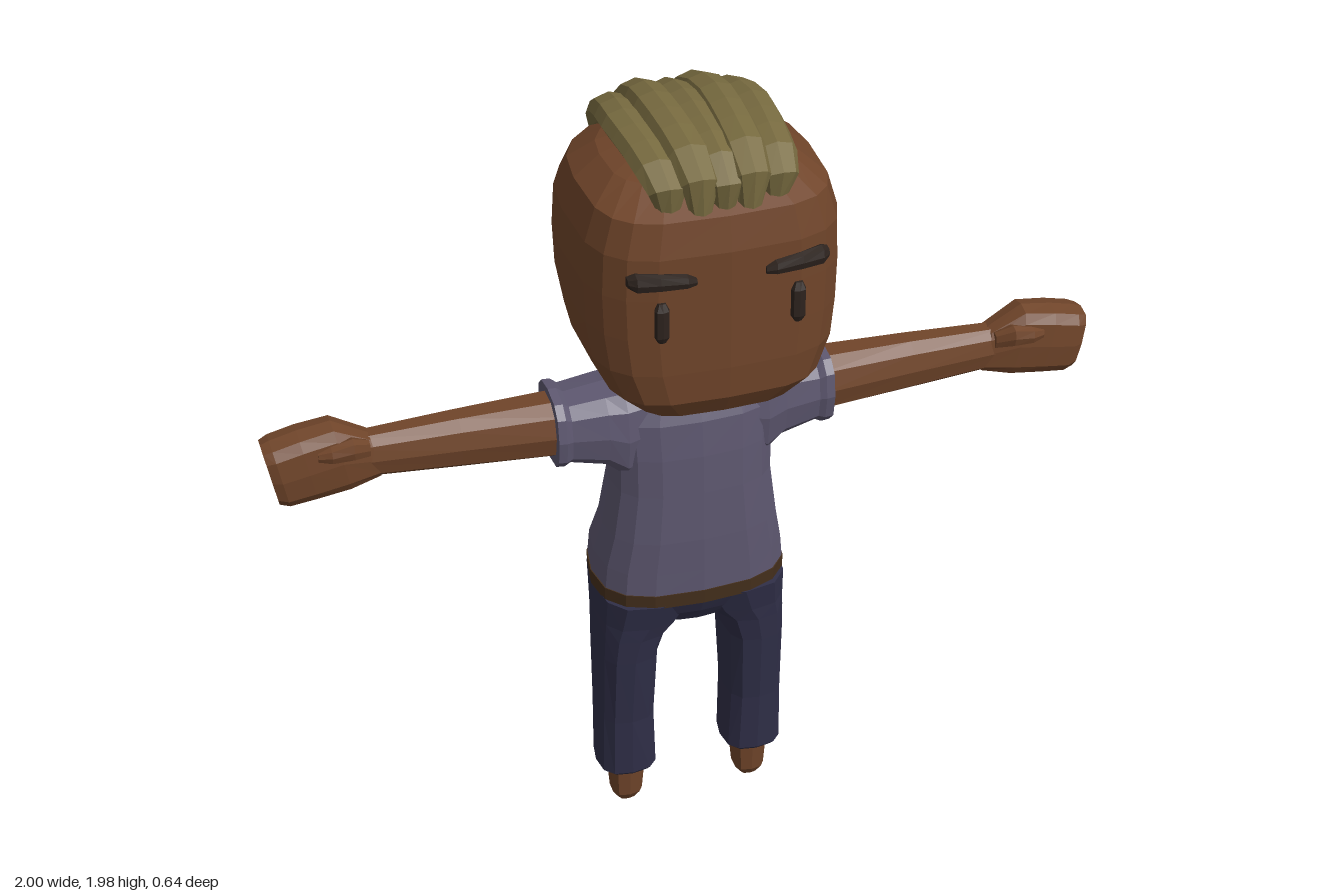
import * as THREE from 'three';

const material = (name, color) => {
  const m = new THREE.MeshStandardMaterial({ color });
  m.name = name;
  return m;
};

// Joins rings of points into a closed, capped, faceted surface.
function skinRings(rings, flip = false) {
  const pos = [];
  const tri = (a, b, c) => (flip ? [a, c, b] : [a, b, c]).forEach(p => pos.push(p.x, p.y, p.z));
  const n = rings[0].length;
  for (let i = 0; i < rings.length - 1; i++) {
    for (let j = 0; j < n; j++) {
      const k = (j + 1) % n, lo = rings[i], hi = rings[i + 1];
      tri(lo[j], lo[k], hi[k]);
      tri(lo[j], hi[k], hi[j]);
    }
  }
  [rings[0], rings[rings.length - 1]].forEach((ring, end) => {
    const c = ring.reduce((s, p) => s.add(p), new THREE.Vector3()).divideScalar(n);
    for (let j = 0; j < n; j++) {
      const k = (j + 1) % n;
      if (end) tri(c, ring[j], ring[k]);
      else tri(c, ring[k], ring[j]);
    }
  });
  const g = new THREE.BufferGeometry();
  g.setAttribute('position', new THREE.Float32BufferAttribute(pos, 3));
  g.computeVertexNormals();
  return g;
}

// Lofts rounded-box sections [t, a0, a1, z0, z1] along y (a = x) or along x (a = y).
// front and back set how square each half is; shear leans an x loft by its height.
function loft(sections, { axis = 'y', side = 1, n = 12, front = 2.8, back = 2.8, shear = 0 } = {}) {
  const rings = sections.map(([t, a0, a1, z0, z1]) => Array.from({ length: n }, (_, j) => {
    const ang = j / n * Math.PI * 2, s = Math.sin(ang), c = Math.cos(ang);
    const e = 2 / (c >= -1e-6 ? front : back);
    const a = (a0 + a1) / 2 + (a1 - a0) / 2 * Math.sign(s) * Math.abs(s) ** e;
    const z = (z0 + z1) / 2 + (z1 - z0) / 2 * Math.sign(c) * Math.abs(c) ** e;
    return axis === 'y' ? new THREE.Vector3(a * side, t, z)
      : new THREE.Vector3((t + (a - 1.18) * shear) * side, a, z);
  }));
  return skinRings(rings, (axis === 'x') !== (side < 0));
}

// One lock of hair swept from the forehead over the crown to the nape.
function hairLock([xFront, xMid, xBack, width, drop, length]) {
  const path = new THREE.CatmullRomCurve3([
    [0.275, 1.83], [0.285, 1.89], [0.22, 1.93], [0.1, 1.945], [-0.02, 1.945],
    [-0.14, 1.915], [-0.235, 1.84], [-0.28, 1.73], [-0.29, 1.58],
  ].map(([z, y]) => new THREE.Vector3(0, y, z)));
  const rings = [];
  const steps = 12;
  for (let i = 0; i <= steps; i++) {
    const f = i / steps;
    const p = path.getPointAt(f * length), t = path.getTangentAt(f * length);
    const normal = new THREE.Vector3(0, -t.z, t.y);
    const x = f < 0.4 ? THREE.MathUtils.lerp(xFront, xMid, f / 0.4)
      : THREE.MathUtils.lerp(xMid, xBack, ((f - 0.4) / 0.6) ** 1.5);
    const taper = Math.min(1, 0.5 + f * 4, 0.3 + (1 - f) * 2.2);
    rings.push(Array.from({ length: 8 }, (_, j) => {
      const a = j / 8 * Math.PI * 2;
      const q = p.clone().addScaledVector(normal, Math.cos(a) * 0.036 * Math.max(taper, 0.6) - drop);
      q.x = x + Math.sin(a) * width * taper;
      return q;
    }));
  }
  return skinRings(rings);
}

export function createModel() {
  const model = new THREE.Group();
  model.name = 'figure';
  const skin = material('skin brown', 0x70452a);
  const shirt = material('shirt purple grey', 0x5d576f);
  const trousers = material('trouser navy', 0x302f48);
  const belt = material('belt brown', 0x46301d);
  const hair = material('hair olive', 0x786b40);
  const dark = material('eye dark', 0x2d231e);
  const add = (name, geometry, mat) => {
    const mesh = new THREE.Mesh(geometry, mat);
    mesh.name = name;
    model.add(mesh);
  };
  // Symmetric section across x
  const sym = list => list.map(([y, w, z0, z1]) => [y, -w, w, z0, z1]);

  // Head and neck
  add('head', loft(sym([
    [1.305, 0.12, -0.05, 0.2], [1.325, 0.19, -0.09, 0.28], [1.38, 0.25, -0.16, 0.315],
    [1.46, 0.285, -0.235, 0.32], [1.55, 0.297, -0.28, 0.32], [1.65, 0.3, -0.285, 0.32],
    [1.75, 0.295, -0.275, 0.32], [1.83, 0.27, -0.225, 0.305], [1.875, 0.21, -0.14, 0.21],
    [1.9, 0.11, -0.07, 0.1],
  ]), { n: 20, front: 3.8, back: 2.4 }), skin);
  add('neck', loft(sym([[1.22, 0.1, -0.085, 0.06], [1.29, 0.095, -0.065, 0.06], [1.35, 0.085, -0.06, 0.06]])), skin);

  // Hair: [x at front, middle, back, half width, drop, length]
  [
    [0, 0, 0, 0.045, 0.008, 0.86],
    [0.055, 0.07, 0.045, 0.05, 0, 1], [-0.055, -0.07, -0.045, 0.05, 0, 1],
    [0.12, 0.147, 0.09, 0.05, 0.022, 0.95], [-0.12, -0.147, -0.09, 0.05, 0.022, 0.95],
  ].forEach(l => add('hairLock', hairLock(l), hair));

  // Shirt, neckline to hem
  add('shirt', loft(sym([
    [0.715, 0.237, -0.182, 0.14], [0.78, 0.231, -0.18, 0.14], [0.87, 0.213, -0.14, 0.14],
    [1.0, 0.195, -0.115, 0.135], [1.1, 0.195, -0.105, 0.13], [1.19, 0.2, -0.1, 0.12],
    [1.25, 0.18, -0.09, 0.095], [1.283, 0.11, -0.06, 0.065],
  ]), { n: 16 }), shirt);
  add('belt', loft(sym([[0.68, 0.238, -0.18, 0.138], [0.72, 0.239, -0.184, 0.142]]), { n: 16 }), belt);
  add('hips', loft(sym([
    [0.6, 0.1, -0.11, 0.09], [0.64, 0.2, -0.155, 0.115], [0.685, 0.234, -0.176, 0.135],
  ]), { n: 16 }), trousers);

  for (const side of [1, -1]) {
    const s = side > 0 ? 'left' : 'right';

    // Sleeve and arm
    add(s + 'Sleeve', loft([
      [0.08, 1.06, 1.283, -0.085, 0.095], [0.17, 1.03, 1.28, -0.095, 0.105],
      [0.215, 1.07, 1.272, -0.095, 0.1], [0.3, 1.09, 1.26, -0.088, 0.09],
      [0.315, 1.083, 1.272, -0.094, 0.096], [0.335, 1.085, 1.273, -0.094, 0.096],
    ], { axis: 'x', side }), shirt);
    add(s + 'Arm', loft([
      [0.3, 1.1, 1.255, -0.075, 0.075], [0.55, 1.115, 1.25, -0.058, 0.058],
      [0.8, 1.132, 1.24, -0.043, 0.043],
    ], { axis: 'x', side, n: 10, front: 2.4, back: 2.4 }), skin);

    // Fist with a folded thumb
    add(s + 'Hand', loft([
      [0.745, 1.13, 1.24, -0.04, 0.043], [0.82, 1.11, 1.288, -0.052, 0.055],
      [0.9, 1.1, 1.275, -0.06, 0.058], [0.965, 1.093, 1.26, -0.06, 0.058],
      [0.987, 1.1, 1.252, -0.05, 0.05],
    ], { axis: 'x', side, n: 12, front: 3.2, back: 3.2, shear: 0.18 }), skin);
    add(s + 'Thumb', loft([
      [0.76, 1.2, 1.24, 0.02, 0.05], [0.8, 1.21, 1.262, 0.03, 0.074],
      [0.85, 1.21, 1.25, 0.03, 0.072], [0.88, 1.215, 1.24, 0.03, 0.06],
    ], { axis: 'x', side, n: 8 }), skin);

    // Trouser leg with a cuff, and foot
    add(s + 'TrouserLeg', loft([
      [0.12, 0.1, 0.23, -0.075, 0.065], [0.13, 0.09, 0.241, -0.085, 0.073],
      [0.3, 0.096, 0.238, -0.095, 0.08], [0.5, 0.088, 0.237, -0.115, 0.1],
      [0.57, 0.065, 0.236, -0.125, 0.108], [0.61, 0.025, 0.236, -0.142, 0.115],
      [0.685, -0.02, 0.236, -0.172, 0.134],
    ], { side }), trousers);
    add(s + 'Foot', loft([
      [0, 0.142, 0.188, -0.025, 0.022], [0.025, 0.125, 0.204, -0.042, 0.037],
      [0.14, 0.115, 0.212, -0.052, 0.045],
    ], { side, n: 10 }), skin);

    // Brow and eye
    add(s + 'Brow', loft([
      [0.078, 1.683, 1.7, 0.305, 0.325], [0.1, 1.68, 1.712, 0.3, 0.333],
      [0.16, 1.68, 1.72, 0.295, 0.33], [0.21, 1.68, 1.722, 0.28, 0.322],
      [0.227, 1.69, 1.712, 0.275, 0.308],
    ], { axis: 'x', side, n: 8 }), dark);
    add(s + 'Eye', loft([
      [1.55, 0.146, 0.164, 0.3, 0.32], [1.565, 0.138, 0.172, 0.3, 0.327],
      [1.63, 0.138, 0.172, 0.3, 0.327], [1.648, 0.146, 0.164, 0.3, 0.32],
    ], { side, n: 8 }), dark);
  }
  return model;
}
